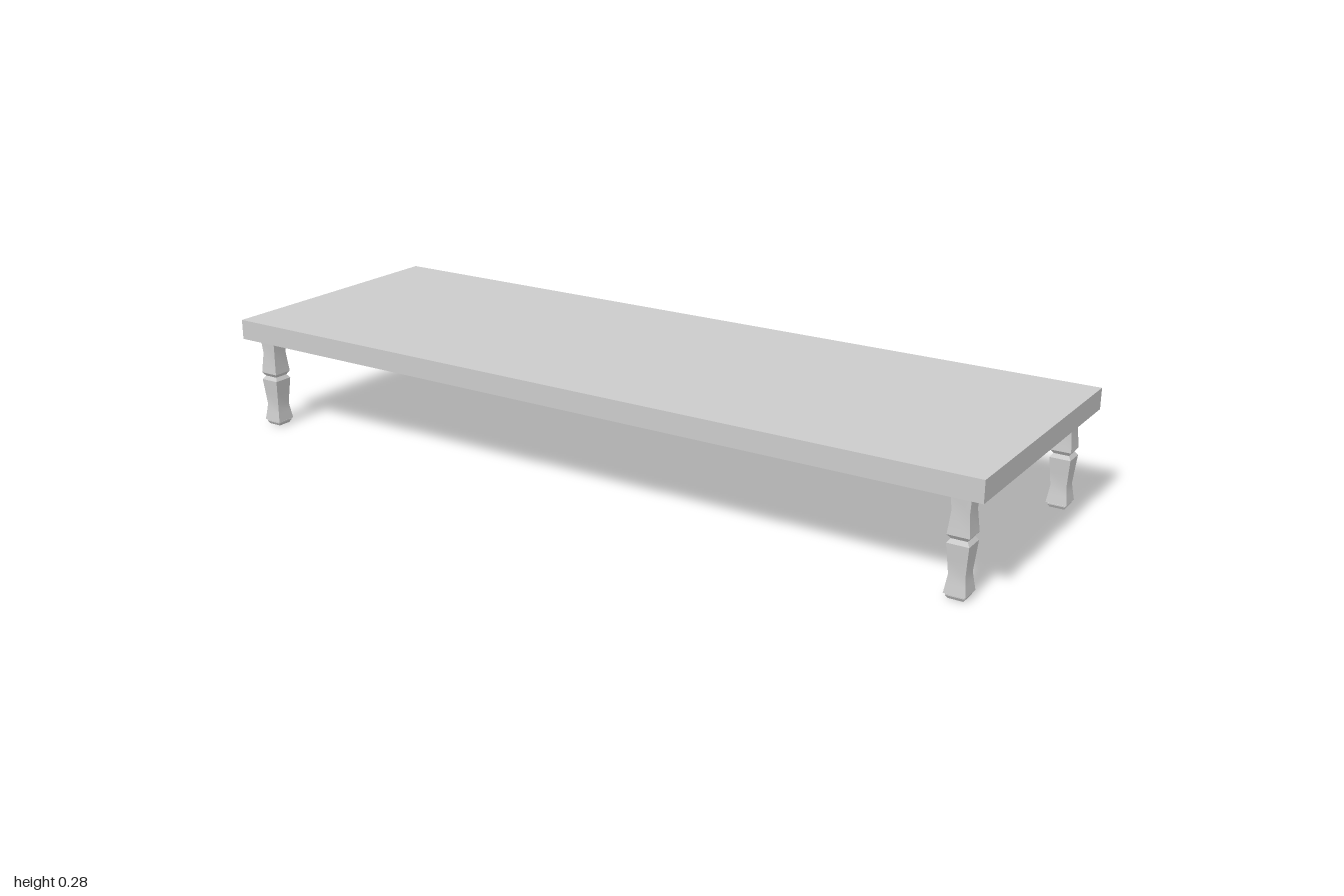
import * as THREE from 'three';
import { toCreasedNormals } from 'three/addons/utils/BufferGeometryUtils.js';

const W = 2, D = 0.667, TOP = 0.279, RIM_BOTTOM = 0.229, PANEL_BOTTOM = 0.255, RIM = 0.034;
const LEG_X = 0.943, LEG_Z = 0.285;

const material = new THREE.MeshStandardMaterial({ color: 0xcccccc });

// Rectangle centred on the origin, drawn on a shape or a hole path
function rect(path, w, h) {
  path.moveTo(-w / 2, -h / 2);
  path.lineTo(w / 2, -h / 2);
  path.lineTo(w / 2, h / 2);
  path.lineTo(-w / 2, h / 2);
  path.closePath();
  return path;
}

// Square turned profile from [half width, y] pairs
function squareTurning(profile) {
  const points = profile.map(([r, y]) => new THREE.Vector2(r * Math.SQRT2, y));
  return toCreasedNormals(new THREE.LatheGeometry(points, 4, Math.PI / 4), 0.4);
}

function addMesh(parent, name, geometry) {
  const mesh = new THREE.Mesh(geometry, material);
  mesh.name = name;
  parent.add(mesh);
  return mesh;
}

export function createModel() {
  const table = new THREE.Group();
  table.name = 'lowTable';

  // Frame around the top, hanging below the panel
  const outline = rect(new THREE.Shape(), W, D);
  outline.holes.push(rect(new THREE.Path(), W - 2 * RIM, D - 2 * RIM));
  const frame = new THREE.ExtrudeGeometry(outline, { depth: TOP - RIM_BOTTOM, bevelEnabled: false });
  frame.rotateX(-Math.PI / 2);
  addMesh(table, 'topFrame', frame).position.y = RIM_BOTTOM;

  // Panel set flush in the frame
  const panel = new THREE.BoxGeometry(W - 2 * RIM, TOP - PANEL_BOTTOM, D - 2 * RIM);
  addMesh(table, 'topPanel', panel).position.y = (TOP + PANEL_BOTTOM) / 2;

  // Square legs with waisted sections and a notch, each on a small foot
  const legGeometry = squareTurning([
    [0, 0.012], [0.0245, 0.012], [0.0215, 0.032], [0.0185, 0.053], [0.0215, 0.088], [0.0245, 0.121],
    [0.018, 0.13], [0.0245, 0.139], [0.0195, 0.19], [0.0225, 0.229], [0.0225, PANEL_BOTTOM],
  ]);
  const footGeometry = squareTurning([[0, 0], [0.017, 0], [0.021, 0.007], [0.021, 0.01], [0.019, 0.012]]);

  for (const [side, sx] of [['Left', 1], ['Right', -1]]) {
    for (const [end, sz] of [['front', 1], ['back', -1]]) {
      const leg = new THREE.Group();
      leg.name = `${end}${side}Leg`;
      addMesh(leg, 'legPost', legGeometry);
      addMesh(leg, 'legFoot', footGeometry);
      leg.position.set(sx * LEG_X, 0, sz * LEG_Z);
      table.add(leg);
    }
  }
  return table;
}
